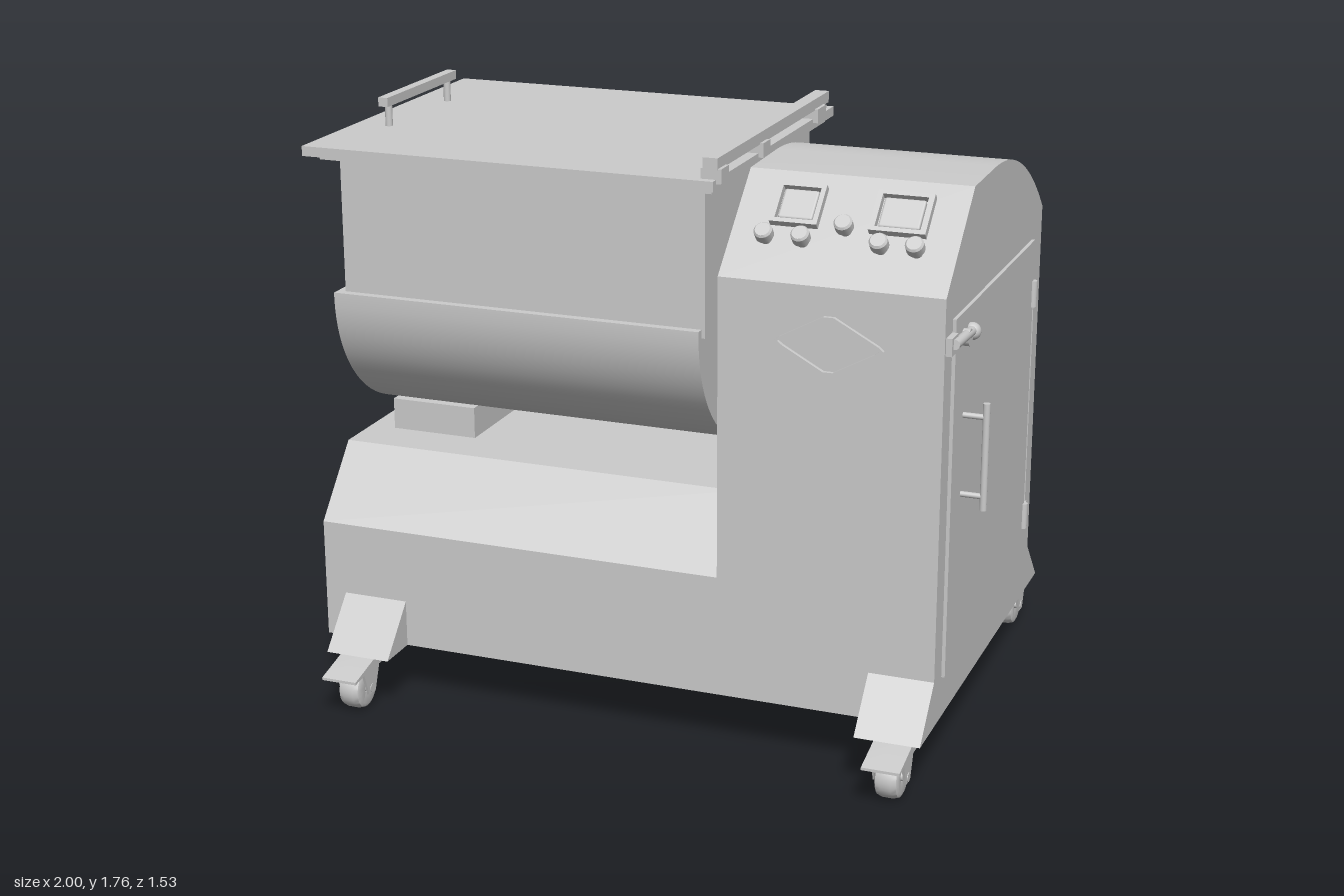
import * as THREE from 'three';
import { toCreasedNormals } from 'three/addons/utils/BufferGeometryUtils.js';
import { RoundedBoxGeometry } from 'three/addons/geometries/RoundedBoxGeometry.js';

const grey = new THREE.MeshStandardMaterial({ color: 0xcccccc, side: THREE.DoubleSide });

function add(parent, name, geometry, x = 0, y = 0, z = 0) {
  const mesh = new THREE.Mesh(geometry, grey);
  mesh.name = name;
  mesh.position.set(x, y, z);
  parent.add(mesh);
  return mesh;
}

// Box given by its limits on each axis
function box(parent, name, x0, x1, y0, y1, z0, z1) {
  return add(parent, name, new THREE.BoxGeometry(x1 - x0, y1 - y0, z1 - z0),
    (x0 + x1) / 2, (y0 + y1) / 2, (z0 + z1) / 2);
}

// Round bar between two points
function rod(parent, name, a, b, r) {
  const p = new THREE.Vector3(...a), q = new THREE.Vector3(...b);
  const d = q.clone().sub(p);
  const mesh = add(parent, name, new THREE.CylinderGeometry(r, r, d.length(), 20));
  mesh.position.copy(p).add(q).multiplyScalar(0.5);
  mesh.quaternion.setFromUnitVectors(new THREE.Vector3(0, 1, 0), d.normalize());
  return mesh;
}

// Closed (z, y) profile swept along x
function sweepX(parent, name, points, x0, x1) {
  const shape = new THREE.Shape(points.map(([z, y]) => new THREE.Vector2(-z, y)));
  const g = new THREE.ExtrudeGeometry(shape, { depth: x1 - x0, bevelEnabled: false });
  g.rotateY(Math.PI / 2);
  return add(parent, name, toCreasedNormals(g, 0.4), x0);
}

// Raised outline in the xy plane, cut from a polygon
function frame(parent, name, points, inner, depth) {
  const shape = new THREE.Shape(points.map(p => new THREE.Vector2(...p)));
  shape.holes.push(new THREE.Path(points.map(([x, y]) => new THREE.Vector2(x * inner, y * inner))));
  return add(parent, name, new THREE.ExtrudeGeometry(shape, { depth, bevelEnabled: false }));
}

// Turned push button pointing along +z
function button(parent, x, y) {
  const profile = [[0.016, 0], [0.016, 0.018], [0.026, 0.02], [0.026, 0.045], [0.021, 0.051], [0, 0.051]];
  const g = new THREE.LatheGeometry(profile.map(p => new THREE.Vector2(...p)), 24);
  g.rotateX(Math.PI / 2);
  return add(parent, 'button', toCreasedNormals(g, 0.6), x, y, 0);
}

function buildCabinet(root) {
  const cabinet = new THREE.Group();
  cabinet.name = 'cabinet';
  root.add(cabinet);

  // Housing: sloped control face in front, arched roof behind
  const arch = new THREE.QuadraticBezierCurve(new THREE.Vector2(0.05, 1.66),
    new THREE.Vector2(-0.28, 1.66), new THREE.Vector2(-0.545, 1.41));
  const profile = [[0.545, 0.17], [0.545, 1.41], [0.28, 1.655],
    ...arch.getPoints(20).map(p => [p.x, p.y]), [-0.545, 0.17]];
  sweepX(cabinet, 'housing', profile, 0.27, 0.91);

  // Control panel lying on the slope
  const panel = new THREE.Group();
  panel.name = 'controlPanel';
  panel.position.set(0, 1.5325, 0.4125);
  panel.rotation.x = -Math.atan2(0.265, 0.245);
  cabinet.add(panel);
  for (const [x, w] of [[0.442, 0.068], [0.735, 0.08]]) {
    const h = 0.066;
    frame(panel, 'displayFrame', [[-w, -h], [w, -h], [w, h], [-w, h]], 0.8, 0.022)
      .position.set(x, 0.065, 0);
    add(panel, 'displayScreen', new RoundedBoxGeometry(w * 1.45, h * 1.45, 0.024, 2, 0.006), x, 0.065, 0.004);
  }
  for (const x of [0.375, 0.48, 0.7, 0.8]) button(panel, x, -0.048);
  button(panel, 0.59, 0.0);

  // Push button on the rear curve
  const rear = new THREE.Group();
  rear.name = 'rearButton';
  rear.position.set(0.37, 1.475, -0.455);
  rear.rotation.set(-Math.PI * 0.25, Math.PI, 0, 'YXZ');
  cabinet.add(rear);
  button(rear, 0, 0);

  // Diamond plates with raised rims, front and back
  const diamond = [[-0.155, 0], [-0.14, -0.012], [-0.015, -0.08], [0.015, -0.08], [0.14, -0.012],
    [0.155, 0], [0.14, 0.012], [0.015, 0.08], [-0.015, 0.08], [-0.14, 0.012]];
  for (const s of [1, -1]) {
    const rim = frame(cabinet, 'diamondRim', diamond, 0.93, 0.012);
    rim.position.set(0.59, 1.25, s * 0.545);
    if (s < 0) rim.rotation.y = Math.PI;
  }

  // Door with hinges, latch and pull handle
  box(cabinet, 'door', 0.905, 0.92, 0.295, 1.335, -0.425, 0.47);
  for (const y of [1.17, 0.46]) {
    rod(cabinet, 'hingeBarrel', [0.92, y - 0.04, -0.42], [0.92, y + 0.04, -0.42], 0.013);
    box(cabinet, 'hingeLeaf', 0.905, 0.918, y - 0.035, y + 0.03, -0.47, -0.42);
  }
  box(cabinet, 'hingeStrip', 0.905, 0.914, 0.45, 1.14, -0.472, -0.464);
  box(cabinet, 'latchPlate', 0.905, 0.927, 1.25, 1.3, 0.475, 0.535);
  rod(cabinet, 'latchBolt', [0.93, 1.28, 0.52], [0.93, 1.27, 0.34], 0.014);
  rod(cabinet, 'latchBase', [0.915, 1.265, 0.39], [0.94, 1.265, 0.39], 0.024);
  add(cabinet, 'latchKnob', new THREE.SphereGeometry(0.025, 20, 14), 0.928, 1.265, 0.33);
  rod(cabinet, 'pullBar', [0.985, 0.765, 0.365], [0.985, 1.075, 0.365], 0.01);
  for (const y of [0.805, 1.035]) rod(cabinet, 'pullPost', [0.915, y, 0.365], [0.985, y, 0.365], 0.008);
}

function buildTank(root) {
  const tank = new THREE.Group();
  tank.name = 'mixingTank';
  root.add(tank);

  // Rounded trough below, straight hopper above
  const trough = [];
  for (let i = 0; i <= 40; i++) {
    const a = Math.PI * i / 40;
    trough.push([0.48 * Math.cos(a), 1.215 - 0.425 * Math.sin(a)]);
  }
  sweepX(tank, 'trough', [[0.48, 1.225], ...trough, [-0.48, 1.225]], -0.945, 0.19);
  box(tank, 'hopper', -0.92, 0.2, 1.2, 1.64, -0.455, 0.455);
  box(tank, 'hopperRim', -0.96, 0.235, 1.625, 1.64, -0.5, 0.5);
  box(tank, 'lid', -1, 0.25, 1.638, 1.667, -0.535, 0.53);

  // Lid handle
  box(tank, 'lidHandle', -0.908, -0.878, 1.73, 1.757, -0.23, 0.23);
  for (const z of [-0.195, 0.195]) rod(tank, 'lidHandlePost', [-0.893, 1.66, z], [-0.893, 1.735, z], 0.011);

  // Lid hinge bar on blocks
  box(tank, 'hingeBar', 0.212, 0.255, 1.693, 1.727, -0.47, 0.507);
  for (const [z, w] of [[0.475, 0.03], [0.13, 0.03], [-0.375, 0.04]])
    box(tank, 'hingeBlock', 0.205, 0.265, 1.655, 1.697, z - w, z + w);

  // Shafts into the cabinet and saddle under the far end
  for (const [y, z] of [[1.18, 0], [1.07, 0.12], [1.07, -0.12], [0.957, 0]])
    rod(tank, 'shaft', [0.17, y, z], [0.28, y, z], 0.0125);
  box(tank, 'saddle', -0.9, -0.63, 0.72, 0.825, -0.22, 0.22);
}

function buildFeet(root) {
  for (const [x0, x1, name] of [[0.72, 0.91, 'left'], [-0.915, -0.715, 'right']]) {
    const feet = new THREE.Group();
    feet.name = name + 'Feet';
    root.add(feet);
    const c = name === 'left' ? 0.825 : -0.83;
    box(feet, 'crossBeam', c - 0.055, c + 0.055, 0.13, 0.165, -0.64, 0.64);
    for (const s of [1, -1]) {
      // Sloped gusset and outrigger plate
      sweepX(feet, 'gusset', [[s * 0.53, 0.17], [s * 0.675, 0.17], [s * 0.545, 0.31], [s * 0.53, 0.31]], x0, x1);
      sweepX(feet, 'outrigger', [[s * 0.5, 0.13], [s * 0.7, 0.13], [s * 0.765, 0.122], [s * 0.765, 0.13],
        [s * 0.6, 0.168], [s * 0.5, 0.168]], c - 0.055, c + 0.055);
      // Caster
      const caster = new THREE.Group();
      caster.name = 'caster';
      caster.position.set(c, 0.065, s * 0.65);
      feet.add(caster);
      const tyre = [[0.015, -0.03], [0.05, -0.035], [0.06, -0.03], [0.065, -0.015], [0.065, 0.015],
        [0.06, 0.03], [0.05, 0.035], [0.015, 0.03]].map(p => new THREE.Vector2(...p));
      const wheel = new THREE.LatheGeometry(tyre, 36);
      wheel.rotateZ(Math.PI / 2);
      add(caster, 'wheel', toCreasedNormals(wheel, 0.7));
      rod(caster, 'axle', [-0.05, 0, 0], [0.05, 0, 0], 0.014);
      for (const k of [-1, 1])
        sweepX(caster, 'forkSide', [[0.02, -0.015], [0.05, 0.065], [-0.05, 0.065], [-0.02, -0.015]],
          k * 0.044 - 0.004, k * 0.044 + 0.004);
      box(caster, 'forkTop', -0.048, 0.048, 0.06, 0.07, -0.05, 0.05);
    }
  }
}

export function createModel() {
  const root = new THREE.Group();
  root.name = 'industrialMixer';
  // Base with chamfered shoulders
  sweepX(root, 'base', [[0.545, 0.17], [0.545, 0.53], [0.37, 0.73],
    [-0.37, 0.73], [-0.545, 0.53], [-0.545, 0.17]], -0.98, 0.27);
  buildCabinet(root);
  buildTank(root);
  buildFeet(root);
  return root;
}
